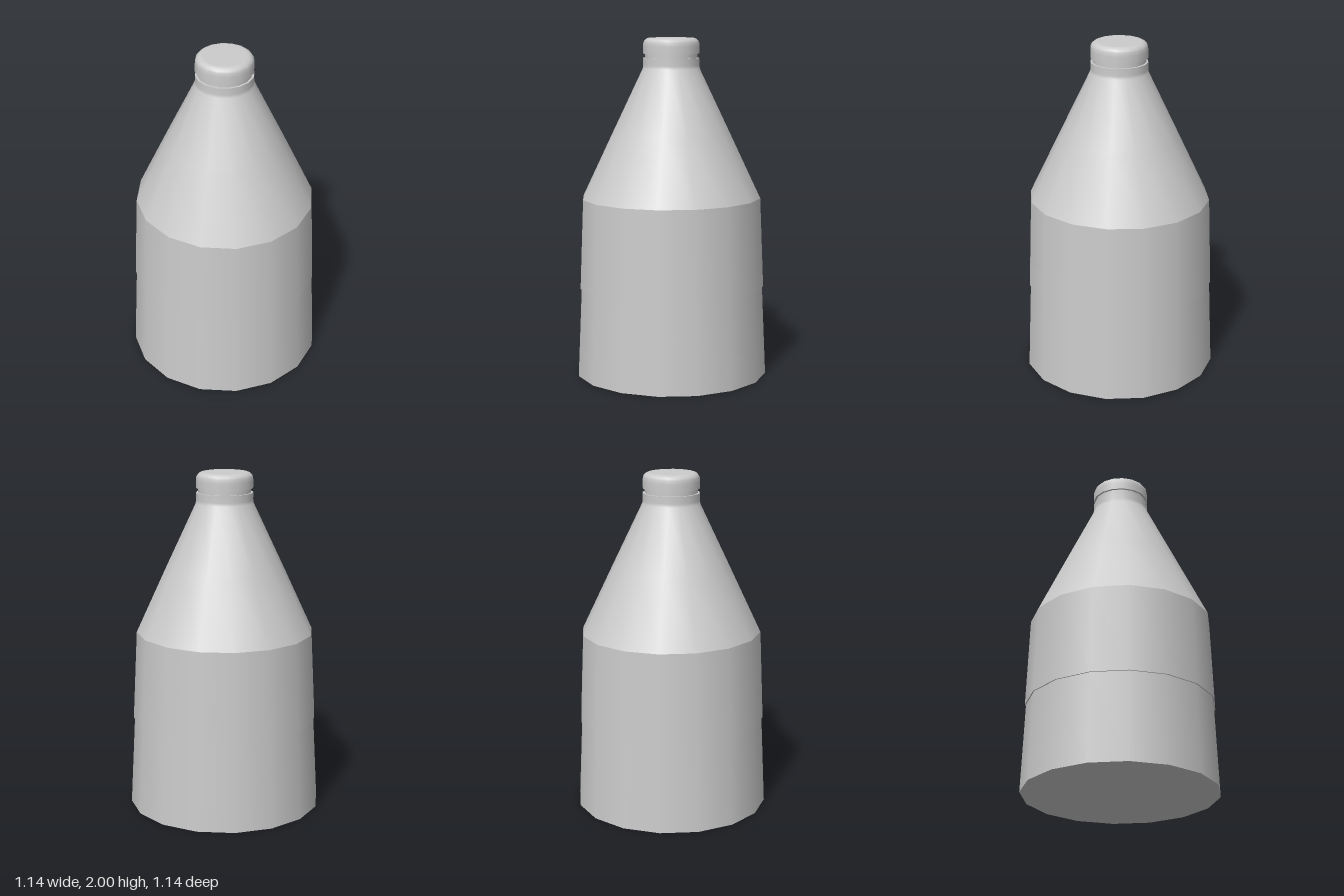
import * as THREE from 'three';

const SIDES = 16;
const material = new THREE.MeshStandardMaterial({ color: 0xcccccc });

// Lathed part from [radius, y, widthFactor] rows; widthFactor narrows x slightly.
function turned(name, profile) {
  const geometry = new THREE.LatheGeometry(
    profile.map(([r, y]) => new THREE.Vector2(r, y)), SIDES);
  const pos = geometry.attributes.position;
  for (let i = 0; i < pos.count; i++) {
    const squash = profile[i % profile.length][2] ?? 1;
    pos.setX(i, pos.getX(i) * squash);
  }
  const mesh = new THREE.Mesh(geometry, material);
  mesh.name = name;
  return mesh;
}

export function createModel() {
  const bottle = new THREE.Group();
  bottle.name = 'bottle';

  // Body: separate bands keep the edges between them sharp
  bottle.add(
    turned('base', [[0, 0], [0.57, 0]]),
    turned('lowerBody', [[0.57, 0], [0.549, 0.53, 0.987]]),
    turned('bodyLedge', [[0.549, 0.53, 0.987], [0.556, 0.53, 0.987]]),
    turned('upperBody', [[0.556, 0.53, 0.987], [0.537, 1.06, 0.973]]),
  );

  // Tapered shoulder running smoothly into the neck
  bottle.add(
    turned('shoulder', [[0.537, 1.06, 0.973], [0.353, 1.44, 0.985], [0.169, 1.82], [0.167, 1.84], [0.167, 1.882]]),
    turned('neckRim', [[0.167, 1.882], [0.155, 1.882]]),
    turned('neckGroove', [[0.155, 1.882], [0.155, 1.908]]),
  );

  // Cap with a rounded top edge
  const capProfile = [[0.167, 1.908], [0.167, 1.95]];
  for (let i = 1; i <= 5; i++) {
    const a = (i / 5) * Math.PI / 2;
    capProfile.push([0.127 + 0.04 * Math.cos(a), 1.96 + 0.04 * Math.sin(a)]);
  }
  capProfile.push([0, 2]);
  bottle.add(
    turned('capUnderside', [[0.155, 1.908], [0.167, 1.908]]),
    turned('cap', capProfile),
  );

  return bottle;
}
